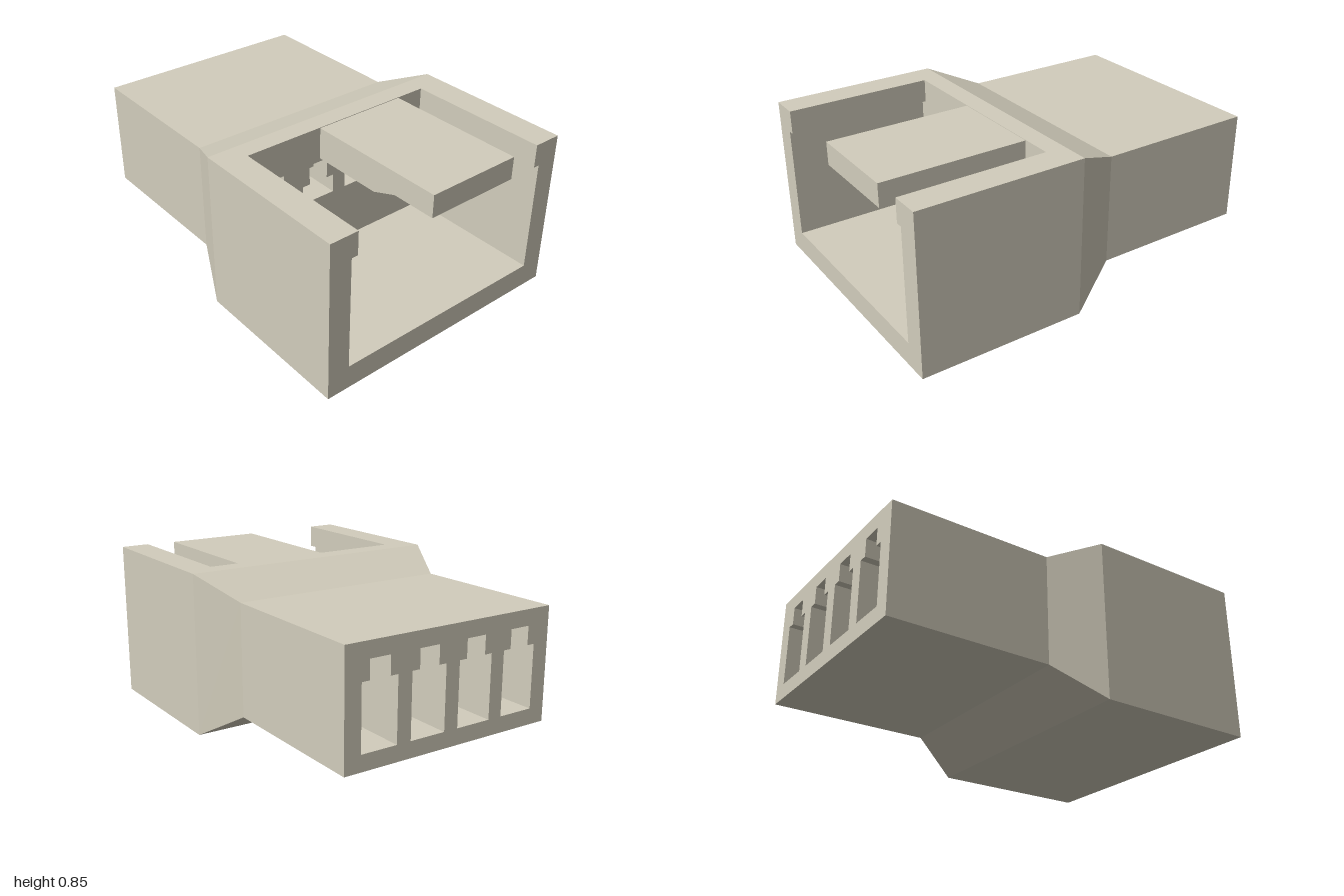
import * as THREE from 'three';

const SLOT_X = [-0.407, -0.136, 0.136, 0.407];
const BIG = { w: 0.71, y0: 0, y1: 0.845 };
const SMALL = { w: 0.592, y0: 0.153, y1: 0.736 };

const poly = (pts) => pts.map(([x, y]) => new THREE.Vector2(x, y));
const rect = ({ w, y0, y1 }) => poly([[-w, y0], [w, y0], [w, y1], [-w, y1]]);

// Contact slot outline: wide body with an optional narrow key on top
function slot(cx, y0, y1, keyTop) {
  const b = 0.097, k = 0.055;
  const pts = [[cx - b, y0], [cx + b, y0], [cx + b, y1]];
  if (keyTop) pts.push([cx + k, y1], [cx + k, keyTop], [cx - k, keyTop], [cx - k, y1]);
  pts.push([cx - b, y1]);
  return new THREE.Path(poly(pts));
}

// Extrude an outline from z0 to z1
function section(outline, holes, z0, z1) {
  const shape = new THREE.Shape(outline);
  shape.holes.push(...holes);
  const geo = new THREE.ExtrudeGeometry(shape, { depth: z1 - z0, bevelEnabled: false });
  return geo.translate(0, 0, z0);
}

export function createModel() {
  const group = new THREE.Group();
  const plastic = new THREE.MeshStandardMaterial({ color: 0xd2cdbc });
  plastic.name = 'beige plastic';
  const add = (name, geo) => {
    const mesh = new THREE.Mesh(geo, plastic);
    mesh.name = name;
    group.add(mesh);
  };

  // Narrow rear body with deep keyed wire slots
  add('rearHousing', section(rect(SMALL),
    SLOT_X.map((x) => slot(x, 0.235, 0.56, 0.655)), -1, -0.14));

  // Tapered neck: the front outline is widened to the size of the socket
  const neck = section(rect(SMALL), SLOT_X.map((x) => slot(x, 0.445, 0.56)), -0.14, 0.12);
  const p = neck.attributes.position;
  for (let i = 0; i < p.count; i++) {
    if (p.getZ(i) > 0 && Math.abs(p.getX(i)) > 0.55) {
      p.setX(i, Math.sign(p.getX(i)) * BIG.w);
      p.setY(i, p.getY(i) < 0.4 ? BIG.y0 : BIG.y1);
    }
  }
  neck.computeVertexNormals();
  add('taperedNeck', neck);

  // Back wall of the socket with keyed contact openings
  add('socketBackWall', section(rect(BIG),
    SLOT_X.map((x) => slot(x, 0.445, 0.545, 0.655)), 0.12, 0.225));

  // Socket walls, open at the top between two inward lips
  const half = [[0.71, 0], [0.71, 0.845], [0.558, 0.845], [0.558, 0.722], [0.592, 0.722], [0.592, 0.125]];
  const mirrored = half.map(([x, y]) => [-x, y]).reverse();
  add('socketWalls', section(poly([...half, ...mirrored]), [], 0.225, 1));

  // Latch tongue: side profile (z, y) with a ramp beneath, extruded across x
  const latch = section(
    poly([[0.225, 0.672], [0.62, 0.672], [0.76, 0.722], [1, 0.722], [1, 0.842], [0.225, 0.842]]),
    [], 0, 0.52);
  latch.rotateY(-Math.PI / 2).translate(0.395, 0, 0);
  add('latchTongue', latch);

  return group;
}
